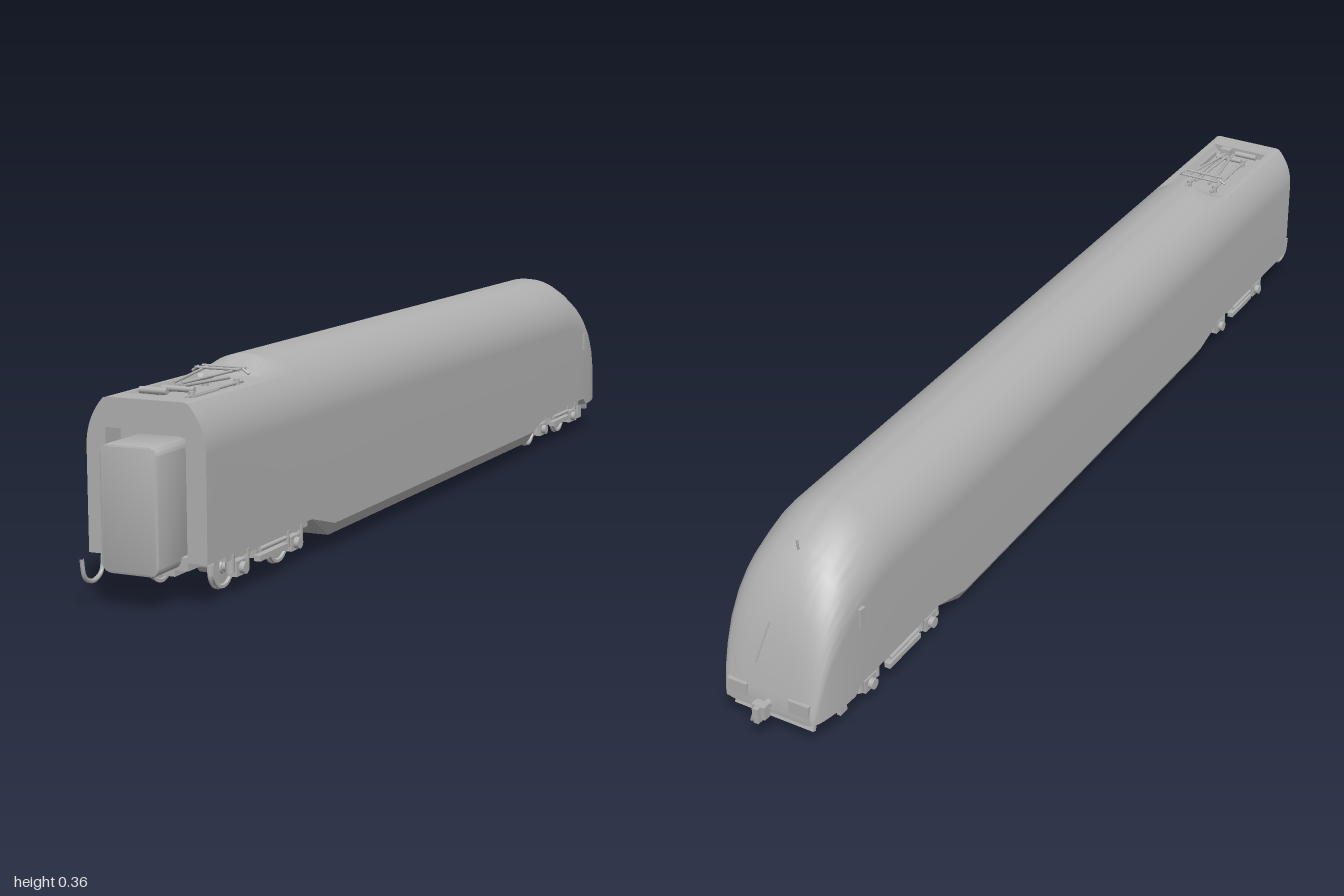
import * as THREE from 'three';
import { toCreasedNormals } from 'three/addons/utils/BufferGeometryUtils.js';

const grey = new THREE.MeshStandardMaterial({ color: 0xb0b0b0 });
grey.name = 'plain grey';

function add(parent, name, geo, x = 0, y = 0, z = 0) {
  const m = new THREE.Mesh(geo, grey);
  m.name = name;
  m.position.set(x, y, z);
  parent.add(m);
  return m;
}
const box = (w, h, d) => new THREE.BoxGeometry(w, h, d);
const cylX = (r, len, n = 20) => new THREE.CylinderGeometry(r, r, len, n).rotateZ(Math.PI / 2);
const cylZ = (r, len, n = 16) => new THREE.CylinderGeometry(r, r, len, n).rotateX(Math.PI / 2);
const tube = (pts, r, n = 16) => new THREE.TubeGeometry(
  new THREE.CatmullRomCurve3(pts.map(p => new THREE.Vector3(...p))), n, r, 6);
// Straight rod between two points
function rod(parent, name, a, b, r) {
  const A = new THREE.Vector3(...a), B = new THREE.Vector3(...b), d = B.clone().sub(A);
  const m = add(parent, name, new THREE.CylinderGeometry(r, r, d.length(), 8));
  m.position.copy(A).add(B).multiplyScalar(0.5);
  m.quaternion.setFromUnitVectors(new THREE.Vector3(0, 1, 0), d.normalize());
}

// Arched cross-section, anticlockwise from the lower +x corner
function section({ w = 0.109, h = 0.362, yb = 0.075, belly = yb - 0.003, clip = 1, floor = 0, p = 1 }) {
  const pts = [[w, yb]], N = 36, spring = Math.max(yb + 0.004, h * 0.69);
  for (let i = 0; i <= N; i++) {
    const t = (i / N) * Math.PI, c = Math.cos(t);
    const x = w * Math.sign(c) * Math.abs(c) ** p;
    let y = Math.min(clip, spring + (h - spring) * Math.abs(Math.sin(t)) ** p);
    if (floor && Math.abs(x) < 0.062) y = floor;
    pts.push([x, y]);
  }
  pts.push([-w, yb], [-w + 0.014, belly], [w - 0.014, belly]);
  return pts;
}

// Skin between sections ordered from front to back, with both ends closed
function loft(stations) {
  const rings = stations.map(s => section(s).map(([x, y]) => [x, y, s.z]));
  const n = rings[0].length, pos = rings.flat(2), idx = [];
  for (let i = 0; i < rings.length - 1; i++) {
    for (let j = 0; j < n; j++) {
      const a = i * n + j, b = i * n + (j + 1) % n;
      idx.push(a, a + n, b, b, a + n, b + n);
    }
  }
  const cap = (ring, base, flip) => {
    const tri = THREE.ShapeUtils.triangulateShape(ring.map(q => new THREE.Vector2(q[0], q[1])), []);
    for (const [a, b, c] of tri) idx.push(base + a, base + (flip ? c : b), base + (flip ? b : c));
  };
  cap(rings[0], 0, false);
  cap(rings[rings.length - 1], (rings.length - 1) * n, true);
  const g = new THREE.BufferGeometry();
  g.setAttribute('position', new THREE.Float32BufferAttribute(pos, 3));
  g.setIndex(idx);
  return toCreasedNormals(g, 0.5);
}

function roundedRect(w, h, r) {
  const s = new THREE.Shape(), x = w / 2, y = h / 2;
  s.absarc(x - r, y - r, r, 0, Math.PI / 2);
  s.absarc(-x + r, y - r, r, Math.PI / 2, Math.PI);
  s.absarc(-x + r, -y + r, r, Math.PI, Math.PI * 1.5);
  s.absarc(x - r, -y + r, r, Math.PI * 1.5, Math.PI * 2);
  return s;
}

// Two-axle bogie centred on its own z = 0
function makeBogie(name, z) {
  const g = new THREE.Group();
  g.name = name;
  g.position.z = z;
  const wheel = new THREE.LatheGeometry([[0, -0.004], [0.012, -0.004], [0.014, -0.002], [0.031, -0.002],
    [0.033, -0.004], [0.0385, -0.004], [0.0385, -0.001], [0.036, 0.001], [0.036, 0.006], [0.031, 0.006],
    [0.029, 0.002], [0.012, 0.003], [0.01, 0.006], [0, 0.006]].map(q => new THREE.Vector2(...q)), 32);
  const wheelGeo = toCreasedNormals(wheel, 0.5).rotateZ(-Math.PI / 2);
  for (const az of [-0.097, 0.097]) {
    add(g, 'axle', cylX(0.008, 0.17), 0, 0.0385, az);
    add(g, 'gearbox', box(0.024, 0.036, 0.04), -0.03, 0.035, az);
    add(g, 'tractionMotor', cylX(0.017, 0.04), 0.028, 0.036, az * 0.75);
    for (const s of [-1, 1]) {
      const wh = add(g, 'wheel', wheelGeo, s * 0.057, 0.0385, az);
      if (s < 0) wh.rotation.y = Math.PI;
      add(g, 'axleBox', box(0.016, 0.026, 0.034), s * 0.088, 0.0405, az);
      add(g, 'axleCap', cylX(0.01, 0.012), s * 0.099, 0.0405, az);
      for (const dz of [-0.025, 0.025]) {
        add(g, 'axleSpring', new THREE.CylinderGeometry(0.008, 0.008, 0.03, 12), s * 0.088, 0.052, az + dz);
      }
      add(g, 'brakeBlock', box(0.01, 0.024, 0.008), s * 0.06, 0.042, az - Math.sign(az) * 0.045);
    }
  }
  for (const s of [-1, 1]) {
    add(g, 'sideFrame', box(0.016, 0.014, 0.29), s * 0.086, 0.066, 0);
    add(g, 'frameDrop', box(0.014, 0.02, 0.08), s * 0.086, 0.052, 0);
    add(g, 'airSpring', new THREE.CylinderGeometry(0.02, 0.02, 0.016, 16), s * 0.08, 0.077, 0);
    add(g, 'leafBundle', box(0.012, 0.01, 0.1), s * 0.099, 0.045, 0);
    add(g, 'damper', cylZ(0.004, 0.09, 10), s * 0.102, 0.06, 0);
    add(g, 'endBeam', box(0.17, 0.01, 0.012), 0, 0.066, s * 0.14);
  }
  add(g, 'bolster', box(0.17, 0.022, 0.05), 0, 0.06, 0);
  return g;
}

function makePantograph() {
  const g = new THREE.Group();
  g.name = 'pantograph';
  for (const s of [-1, 1]) {
    rod(g, 'upperArm', [s * 0.032, 0.347, 0.68], [s * 0.008, 0.343, 0.83], 0.0025);
    rod(g, 'lowerArm', [s * 0.016, 0.333, 0.69], [s * 0.005, 0.338, 0.83], 0.003);
    rod(g, 'baseRail', [s * 0.03, 0.325, 0.67], [s * 0.03, 0.325, 0.86], 0.003);
    rod(g, 'contactStrip', [-0.042, 0.349, 0.69 + s * 0.012], [0.042, 0.349, 0.69 + s * 0.012], 0.0025);
    rod(g, 'headHorn', [s * 0.042, 0.349, 0.69], [s * 0.054, 0.341, 0.69], 0.0025);
    for (const z of [0.69, 0.84]) {
      add(g, 'insulator', new THREE.CylinderGeometry(0.005, 0.006, 0.018, 10), s * 0.03, 0.323, z);
    }
  }
  add(g, 'crossShaft', cylX(0.005, 0.06, 12), 0, 0.333, 0.83);
  add(g, 'roofCylinder', cylX(0.006, 0.05, 12), -0.027, 0.333, 0.862);
  add(g, 'equipmentBox', box(0.024, 0.016, 0.022), 0.03, 0.322, 0.885);
  add(g, 'busBar', box(0.004, 0.01, 0.08), 0.046, 0.324, 0.82);
  return g;
}

export function createModel() {
  const model = new THREE.Group();
  model.name = 'powerCar';

  // Body shell with sunken roof end, low belly and rounded nose
  const well = { clip: 0.331, floor: 0.316 };
  add(model, 'bodyShell', loft([
    { z: 0.89, ...well }, { z: 0.66, ...well }, { z: 0.652, clip: 0.331 }, { z: 0.605 },
    { z: 0.57 }, { z: 0.48, yb: 0.05, belly: 0.027 },
    { z: -0.51, yb: 0.05, belly: 0.027 }, { z: -0.6 },
    { z: -0.74 }, { z: -0.77, h: 0.358 }, { z: -0.805, h: 0.345 },
    { z: -0.845, w: 0.1085, h: 0.322, p: 0.95 }, { z: -0.865, w: 0.1075, h: 0.305, yb: 0.06, p: 0.9 },
    { z: -0.89, w: 0.106, h: 0.276, yb: 0.06, p: 0.85 }, { z: -0.915, w: 0.103, h: 0.235, yb: 0.06, p: 0.8 },
    { z: -0.935, w: 0.099, h: 0.185, yb: 0.06, p: 0.72 }, { z: -0.95, w: 0.095, h: 0.135, yb: 0.06, p: 0.65 },
    { z: -0.96, w: 0.09, h: 0.095, yb: 0.06, p: 0.6 }, { z: -0.964, w: 0.086, h: 0.078, yb: 0.06, p: 0.6 },
  ]));

  // Front end frame, open at the bottom around the gangway
  const outer = section({ clip: 0.331 }).slice(0, -2);
  const inner = [[-0.073, 0.075], [-0.073, 0.282], [0.073, 0.282], [0.073, 0.075]];
  const frame = new THREE.Shape([...outer, ...inner].map(q => new THREE.Vector2(...q)));
  add(model, 'endFrame', toCreasedNormals(
    new THREE.ExtrudeGeometry(frame, { depth: 0.045, bevelEnabled: false }), 0.5), 0, 0, 0.89);
  // Gangway connection
  add(model, 'gangway', toCreasedNormals(new THREE.ExtrudeGeometry(roundedRect(0.098, 0.2, 0.014), {
    depth: 0.094, bevelSize: 0.004, bevelThickness: 0.004, bevelSegments: 2, curveSegments: 8,
  }), 0.5), 0, 0.163, 0.89);
  add(model, 'gangwaySill', box(0.13, 0.022, 0.04), 0, 0.068, 0.9);
  add(model, 'hose', tube([[-0.084, 0.075, 0.933], [-0.084, 0.046, 0.94], [-0.084, 0.037, 0.965],
    [-0.084, 0.048, 0.988], [-0.084, 0.08, 0.996]], 0.004, 24));

  model.add(makePantograph());
  model.add(makeBogie('frontBogie', 0.703), makeBogie('rearBogie', -0.705));

  // Nose fittings
  for (const s of [-1, 1]) {
    add(model, 'sideCamera', box(0.012, 0.038, 0.014), s * 0.108, 0.211, -0.838);
    add(model, 'bufferHousing', box(0.04, 0.026, 0.03), s * 0.062, 0.085, -0.95);
    add(model, 'stepBracket', box(0.008, 0.04, 0.02), s * 0.085, 0.045, -0.875);
    add(model, 'plowBrace', box(0.008, 0.03, 0.05), s * 0.05, 0.047, -0.915);
  }
  add(model, 'plowBlade', box(0.16, 0.022, 0.008), 0, 0.046, -0.945).rotation.x = 0.35;
  add(model, 'couplerShank', cylZ(0.008, 0.06), 0, 0.076, -0.96);
  add(model, 'couplerHead', box(0.026, 0.026, 0.016), 0, 0.076, -0.984);
  add(model, 'couplerHook', box(0.01, 0.03, 0.012), 0, 0.073, -0.994);
  add(model, 'brakeHose', tube([[0.02, 0.07, -0.96], [0.022, 0.052, -0.978], [0.018, 0.05, -0.988],
    [0.012, 0.066, -0.99]], 0.003));
  rod(model, 'wiper', [0.03, 0.14, -0.951], [0.012, 0.215, -0.927], 0.0015);
  rod(model, 'aerial', [0, 0.318, -0.85], [0, 0.338, -0.852], 0.002);
  return model;
}
